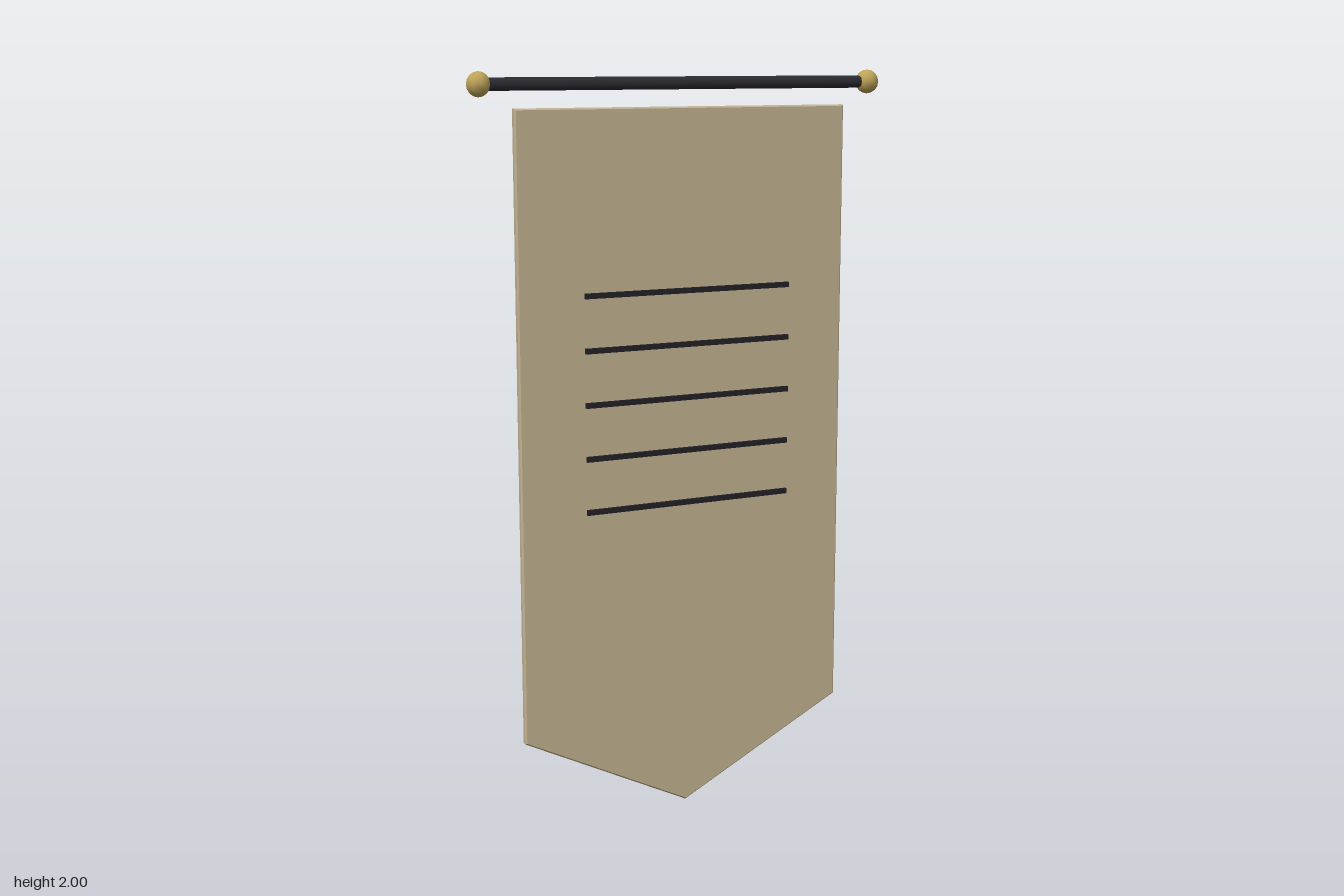
import * as THREE from 'three';

export function createModel() {
  const group = new THREE.Group();
  const mat = (color) => new THREE.MeshStandardMaterial({ color });
  const cloth = mat(0xc2b291), dark = mat(0x2c2b32), gold = mat(0xbfa45a), ink = mat(0x222026);

  const add = (name, geometry, material, x, y, z) => {
    const mesh = new THREE.Mesh(geometry, material);
    mesh.name = name;
    mesh.position.set(x, y, z);
    group.add(mesh);
    return mesh;
  };

  // Hanging rod with a round knob at each end
  const rodY = 1.97, rodZ = -0.008, knobX = 0.56;
  const rod = add('rod', new THREE.CylinderGeometry(0.0165, 0.0165, knobX * 2, 8), dark, 0, rodY, rodZ);
  rod.rotation.z = Math.PI / 2;
  const knob = new THREE.SphereGeometry(0.032, 8, 8);
  add('leftKnob', knob, gold, knobX, rodY, rodZ);
  add('rightKnob', knob, gold, -knobX, rodY, rodZ);

  // Pointed banner with a fine bevelled edge
  const bevel = 0.004, w = 0.475;
  const outline = new THREE.Shape([
    [0, 0], [w, 0.24], [w, 1.91], [-w, 1.91], [-w, 0.24],
  ].map(([x, y]) => new THREE.Vector2(x, y)));
  const banner = new THREE.ExtrudeGeometry(outline, {
    depth: 0.012, bevelEnabled: true, bevelThickness: bevel,
    bevelSize: bevel, bevelOffset: -bevel, bevelSegments: 1,
  });
  add('banner', banner, cloth, 0, 0, -0.001);

  // Five thin stripes floating just ahead of the banner
  const stripe = new THREE.BoxGeometry(0.596, 0.014, 0.009);
  for (let i = 0; i < 5; i++) {
    add(`stripe${i + 1}`, stripe, ink, 0, 1.434 - i * 0.143, 0.0355);
  }
  return group;
}
